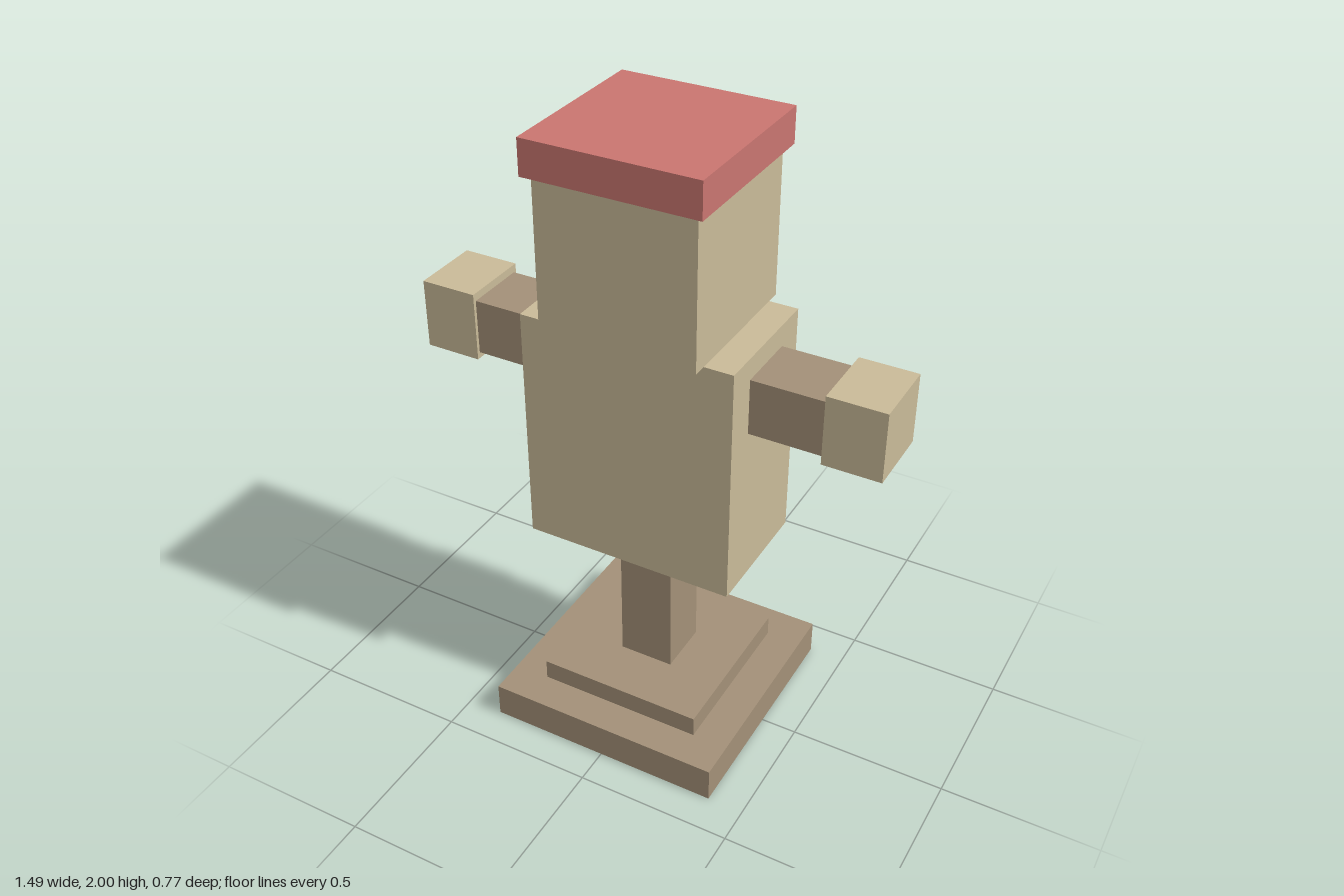
import * as THREE from 'three';

const mat = (name, color) => {
  const m = new THREE.MeshStandardMaterial({ color });
  m.name = name;
  return m;
};

export function createModel() {
  const model = new THREE.Group();
  model.name = 'trainingDummy';
  const tan = mat('lightWood', 0xc9ba98);
  const brown = mat('darkWood', 0xa39078);
  const red = mat('red', 0xc97570);
  const grey = mat('paleGrey', 0xcccccc);
  const dark = mat('charcoal', 0x535354);

  // Box given by its extents along each axis
  const box = (name, material, [x0, x1], [y0, y1], [z0, z1]) => {
    const mesh = new THREE.Mesh(new THREE.BoxGeometry(x1 - x0, y1 - y0, z1 - z0), material);
    mesh.position.set((x0 + x1) / 2, (y0 + y1) / 2, (z0 + z1) / 2);
    mesh.name = name;
    model.add(mesh);
  };
  const sym = (h) => [-h, h];

  // Stepped base and post
  box('base', brown, sym(0.385), [0, 0.115], sym(0.385));
  box('baseStep', brown, sym(0.27), [0.115, 0.183], sym(0.27));
  box('post', brown, sym(0.089), [0.183, 0.66], sym(0.089));

  // Body, head and cap
  box('torso', tan, sym(0.338), [0.66, 1.427], sym(0.204));
  box('head', tan, sym(0.247), [1.427, 1.89], sym(0.247));
  box('cap', red, sym(0.27), [1.89, 2], sym(0.27));

  // Arms, hands and eyes, mirrored
  for (const s of [-1, 1]) {
    const side = s > 0 ? 'left' : 'right';
    const span = (a, b) => (s > 0 ? [a, b] : [-b, -a]);
    box(side + 'Arm', brown, span(0.338, 0.565), [1.18, 1.357], sym(0.102));
    box(side + 'Hand', tan, span(0.565, 0.745), [1.16, 1.382], sym(0.113));
    box(side + 'Eye', dark, span(0.067, 0.157), [1.675, 1.765], [-0.256, -0.247]);
  }
  box('mouth', dark, sym(0.112), [1.565, 1.606], [-0.256, -0.247]);

  // Chest strap and layered square target
  box('chestStrap', brown, sym(0.0225), [0.704, 1.383], [-0.213, -0.204]);
  box('targetOuter', red, sym(0.247), [0.818, 1.313], [-0.224, -0.204]);
  box('targetRing', grey, sym(0.17), [0.893, 1.236], [-0.234, -0.224]);
  box('targetCentre', red, sym(0.09), [0.975, 1.155], [-0.245, -0.234]);

  return model;
}
